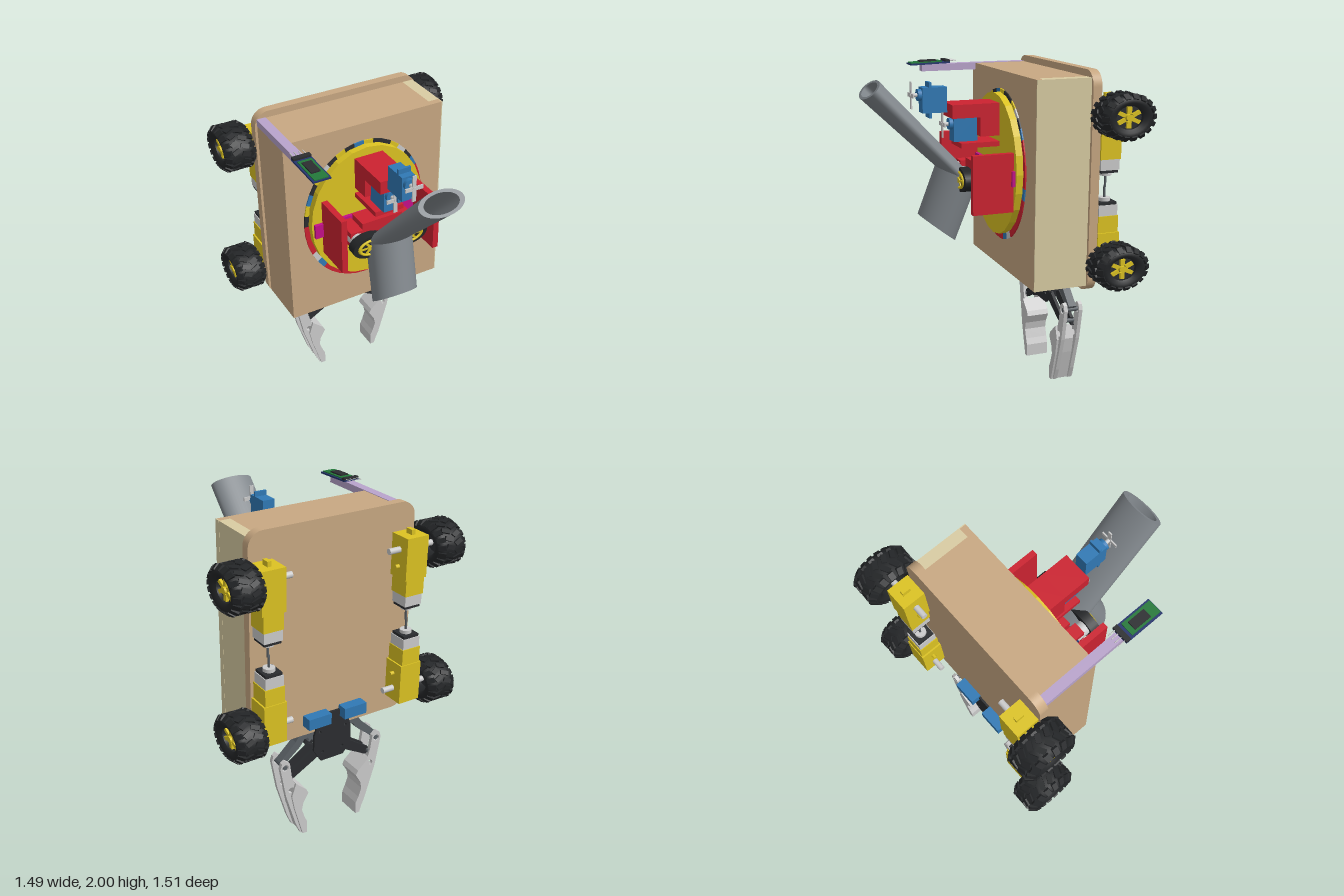
import * as THREE from 'three';
import { mergeGeometries } from 'three/addons/utils/BufferGeometryUtils.js';
import { RoundedBoxGeometry } from 'three/addons/geometries/RoundedBoxGeometry.js';

const mat = (color, opts = {}) => Object.assign(new THREE.MeshStandardMaterial({ color }), opts);
const M = {
  tan: mat(0xc8a882), cream: mat(0xd9cca3), yellow: mat(0xdcc322), red: mat(0xcc2230),
  blue: mat(0x3079b5), magenta: mat(0xc4108a), lilac: mat(0xb9a4cc), black: mat(0x2b2d30),
  tyre: mat(0x232527), pipe: mat(0x7f858a), link: mat(0x5b6166), light: mat(0xcccccc), green: mat(0x23783a),
  navy: mat(0x25356e), facet: mat(0xdcc322, { flatShading: true }),
};

function add(parent, name, geo, material, x = 0, y = 0, z = 0) {
  const m = new THREE.Mesh(geo, material);
  m.name = name;
  m.position.set(x, y, z);
  parent.add(m);
  return m;
}
// Box given by its limits on each axis
function box(parent, name, material, [x0, x1], [y0, y1], [z0, z1]) {
  return add(parent, name, new THREE.BoxGeometry(x1 - x0, y1 - y0, z1 - z0), material,
    (x0 + x1) / 2, (y0 + y1) / 2, (z0 + z1) / 2);
}
// Cylinder lying along the x, y or z axis
function rod(parent, name, material, axis, r, len, x, y, z, sides = 20) {
  const g = new THREE.CylinderGeometry(r, r, len, sides);
  if (axis === 'x') g.rotateZ(Math.PI / 2);
  if (axis === 'z') g.rotateX(Math.PI / 2);
  return add(parent, name, g, material, x, y, z);
}
function extrude(points, depth, holes = []) {
  const s = new THREE.Shape(points.map(p => new THREE.Vector2(...p)));
  for (const [x, y, r] of holes) s.holes.push(new THREE.Path().absarc(x, y, r, 0, Math.PI * 2, true));
  return new THREE.ExtrudeGeometry(s, { depth, bevelEnabled: false, curveSegments: 12 });
}

// Oval ring spanning two (z, y) points, rx wide
function ring(cx, rx, [z0, y0], [z1, y1], k) {
  const out = [];
  for (let i = 0; i < 40; i++) {
    const a = i / 40 * Math.PI * 2, s = Math.sin(a) * k / 2;
    out.push([cx + rx * k * Math.cos(a), (y0 + y1) / 2 + (y1 - y0) * s, (z0 + z1) / 2 + (z1 - z0) * s]);
  }
  return out;
}
function loft(a, b) {
  const n = a.length, idx = [], g = new THREE.BufferGeometry();
  for (let i = 0; i < n; i++) {
    const j = (i + 1) % n;
    idx.push(i, j, n + i, j, n + j, n + i);
  }
  g.setAttribute('position', new THREE.Float32BufferAttribute([...a, ...b].flat(), 3));
  g.setIndex(idx);
  g.computeVertexNormals();
  return g;
}
function barrel(parent) {
  const stations = [[-0.02, 0.14, [0.755, 1.83], [0.65, 1.93]], [-0.022, 0.138, [0.31, 1.405], [0.055, 1.3]],
    [-0.05, 0.138, [0.415, 1.108], [0.193, 0.934]]];
  const o = stations.map(s => ring(...s, 1)), n = stations.map(s => ring(...s, 0.77));
  const loops = [o[0], o[1], o[2], n[2], n[1], n[0], o[0]];
  const m = M.pipe.clone();
  m.side = THREE.DoubleSide;
  add(parent, 'bentPipe', mergeGeometries(loops.slice(1).map((l, i) => loft(loops[i], l))), m);
}

// Oval off-road wheel, outer face towards +x
function wheel() {
  const g = new THREE.Group();
  g.name = 'wheel';
  const prof = [[0.085, 0.07], [0.11, 0.088], [0.14, 0.085], [0.158, 0.06], [0.163, 0], [0.158, -0.06],
    [0.14, -0.085], [0.11, -0.088], [0.085, -0.07], [0.085, 0.07]].reverse().map(p => new THREE.Vector2(...p));
  add(g, 'tyre', new THREE.LatheGeometry(prof, 36).rotateZ(-Math.PI / 2), M.tyre);
  const treads = [];
  for (let i = 0; i < 18; i++) {
    for (const s of [-1, 1]) {
      const a = (i + (s > 0 ? 0.5 : 0)) / 18 * Math.PI * 2;
      treads.push(new THREE.BoxGeometry(0.05, 0.016, 0.03).rotateY(s * 0.5).translate(s * 0.027, 0.163, 0).rotateX(a));
      treads.push(new THREE.BoxGeometry(0.045, 0.016, 0.034).rotateZ(-s * 0.85).translate(s * 0.073, 0.152, 0).rotateX(a));
    }
  }
  add(g, 'treads', mergeGeometries(treads), M.tyre);
  rod(g, 'rim', M.black, 'x', 0.088, 0.05, 0.025, 0, 0, 32);
  rod(g, 'hub', M.yellow, 'x', 0.024, 0.05, 0.05, 0, 0);
  for (let i = 0; i < 6; i++) {
    const s = new THREE.BoxGeometry(0.02, 0.05, 0.028).translate(0.055, 0.052, 0).rotateX(i * Math.PI / 3);
    add(g, 'spoke', s, M.yellow);
  }
  g.scale.set(1.04, 0.77, 0.99);
  return g;
}

// Gear motor with its wheel; modelled for +x with the motor pointing up
function drive(side, up) {
  const g = new THREE.Group();
  g.name = 'driveUnit';
  const w = wheel();
  w.position.x = 0.645;
  g.add(w);
  box(g, 'gearbox', M.yellow, [0.39, 0.535], [-0.08, 0.17], [-0.065, 0.075]);
  box(g, 'gearboxNeck', M.yellow, [0.4, 0.525], [0.17, 0.27], [-0.06, 0.07]);
  box(g, 'mountTab', M.yellow, [0.45, 0.475], [-0.11, -0.08], [-0.02, 0.03]);
  box(g, 'motorCan', M.light, [0.405, 0.52], [0.27, 0.335], [-0.055, 0.065]);
  box(g, 'motorCap', M.black, [0.41, 0.515], [0.335, 0.352], [-0.05, 0.06]);
  rod(g, 'motorNose', M.light, 'y', 0.035, 0.025, 0.463, 0.36, 0.005);
  rod(g, 'motorShaft', M.link, 'y', 0.007, 0.08, 0.463, 0.405, 0.005, 10);
  rod(g, 'axle', M.light, 'x', 0.018, 0.3, 0.465, 0, 0.005);
  rod(g, 'boss', M.yellow, 'x', 0.012, 0.03, 0.38, 0.1, 0.005, 12);
  g.scale.set(side, up, 1);
  return g;
}

function servo(parent, x, y, z) {
  const g = new THREE.Group();
  g.name = 'servo';
  g.position.set(x, y, z);
  box(g, 'servoBody', M.blue, [-0.04, 0.04], [-0.075, 0.075], [-0.08, 0.07]);
  box(g, 'servoEars', M.blue, [-0.04, 0.04], [-0.105, 0.105], [0.015, 0.03]);
  rod(g, 'servoBoss', M.blue, 'z', 0.035, 0.025, 0, 0.03, 0.08);
  rod(g, 'servoShaft', M.light, 'z', 0.012, 0.05, 0, 0.03, 0.11, 12);
  box(g, 'servoHorn', M.light, [-0.012, 0.012], [-0.05, 0.11], [0.125, 0.132]);
  box(g, 'servoHornCross', M.light, [-0.055, 0.055], [0.018, 0.042], [0.125, 0.132]);
  parent.add(g);
}

// One half of the gripper for +x, measured from its centre line
function claw() {
  const g = new THREE.Group();
  g.name = 'claw';
  const outline = [[0.182, 0], [0.22, 0], [0.255, 0.08], [0.325, 0.31], [0.362, 0.51], [0.352, 0.545], [0.33, 0.56],
    [0.298, 0.535], [0.285, 0.44], [0.27, 0.39], [0.19, 0.32], [0.175, 0.29], [0.21, 0.23], [0.22, 0.18], [0.2, 0.12], [0.182, 0.08]];
  const holes = [[0.328, 0.51, 0.021], [0.288, 0.34, 0.019]];
  for (const z of [-0.512, -0.412]) add(g, 'fingerPlate', extrude(outline, 0.024, holes), M.light, 0, 0, z);
  const pad = [[0.182, 0], [0.212, 0], [0.27, 0.2], [0.29, 0.3], [0.262, 0.385], [0.19, 0.32], [0.175, 0.29],
    [0.21, 0.23], [0.22, 0.18], [0.2, 0.12], [0.182, 0.08]];
  add(g, 'fingerPad', extrude(pad, 0.15), M.light, 0, 0, -0.525);
  const outer = [[0.13, 0.73], [0.19, 0.71], [0.235, 0.64], [0.345, 0.535], [0.325, 0.5], [0.205, 0.6], [0.165, 0.655], [0.12, 0.66]];
  add(g, 'outerLink', extrude(outer, 0.05), M.link, 0, 0, -0.475);
  const inner = [[0.07, 0.54], [0.11, 0.56], [0.29, 0.44], [0.3, 0.39], [0.26, 0.4], [0.08, 0.5]];
  for (const z of [-0.485, -0.425]) add(g, 'innerLink', extrude(inner, 0.02), M.black, 0, 0, z);
  rod(g, 'upperPin', M.link, 'z', 0.014, 0.12, 0.328, 0.51, -0.45);
  rod(g, 'lowerPin', M.link, 'z', 0.014, 0.1, 0.285, 0.42, -0.45);
  // Toothed gear at the link root
  for (let i = 0; i < 12; i++) {
    const t = new THREE.BoxGeometry(0.016, 0.02, 0.05).translate(0, 0.075, 0).rotateZ(i * Math.PI / 6);
    add(g, 'gearTooth', t, M.link, 0.1, 0.69, -0.45);
  }
  rod(g, 'gear', M.link, 'z', 0.07, 0.05, 0.1, 0.69, -0.45, 24);
  return g;
}

export function createModel() {
  const root = new THREE.Group();
  root.name = 'gripperRobot';

  // Chassis
  const r = 0.09, x0 = -0.545, x1 = 0.53, y0 = 0.69, y1 = 2, plate = new THREE.Shape();
  plate.absarc(x1 - r, y1 - r, r, 0, Math.PI / 2).absarc(x0 + r, y1 - r, r, Math.PI / 2, Math.PI)
    .absarc(x0 + r, y0 + r, r, Math.PI, Math.PI * 1.5).absarc(x1 - r, y0 + r, r, Math.PI * 1.5, Math.PI * 2);
  add(root, 'backPlate', new THREE.ExtrudeGeometry(plate, { depth: 0.035, bevelSize: 0, bevelThickness: 0.01, bevelSegments: 1 }), M.tan, 0, 0, -0.49);
  box(root, 'body', M.tan, [-0.53, 0.44], [0.73, 1.96], [-0.445, -0.15]);
  box(root, 'sidePanel', M.cream, [0.44, 0.51], [0.73, 1.96], [-0.445, -0.15]);
  box(root, 'frontPanel', M.tan, [-0.53, 0.505], [0.73, 1.96], [-0.15, -0.11]);
  box(root, 'frontPanelEdge', M.cream, [0.505, 0.511], [0.73, 1.96], [-0.15, -0.11]);

  // Turntable with a coloured segmented rim
  const disc = new THREE.CylinderGeometry(1, 1, 0.05, 24).rotateX(Math.PI / 2).scale(0.375, 0.437, 1);
  add(root, 'turntable', disc, M.facet, -0.025, 1.395, -0.085);
  for (let i = 0; i < 40; i++) {
    const a = i / 40 * Math.PI * 2, b = a + Math.PI / 20;
    const p = (k, t) => [k * 0.375 * Math.cos(t), k * 0.437 * Math.sin(t)];
    const c = i % 7 === 3 ? M.blue : i % 9 === 5 ? M.light : i > 19 || i < 3 ? M.red : i % 3 ? M.black : M.yellow;
    add(root, 'rimSegment', extrude([p(0.96, a), p(1.07, a), p(1.07, b), p(0.96, b)], 0.02), c, -0.025, 1.385, -0.122);
  }

  // Launcher: brackets, spinning wheels, servos and pipe
  box(root, 'crossStrip', M.magenta, [-0.385, 0.335], [1.325, 1.415], [-0.065, -0.04]);
  box(root, 'rightBracket', M.red, [-0.333, -0.296], [1.205, 1.56], [-0.055, 0.185]);
  box(root, 'leftBracket', M.red, [0.28, 0.317], [1.17, 1.52], [-0.055, 0.195]);
  box(root, 'crossBlock', M.red, [-0.14, 0.13], [1.3, 1.42], [-0.05, 0.08]);
  box(root, 'shelf', M.red, [-0.11, 0.075], [1.52, 1.55], [-0.06, 0.18]);
  box(root, 'servoPost', M.red, [-0.11, 0.075], [1.585, 1.78], [-0.06, 0.06]);
  box(root, 'servoArm', M.red, [-0.11, 0.075], [1.7, 1.78], [0.06, 0.235]);
  servo(root, -0.03, 1.805, 0.325);
  servo(root, -0.03, 1.625, 0.135);
  for (const s of [-1, 1]) {
    const x = -0.022 + s * 0.17, wx = -0.022 + s * 0.133;
    box(root, 'motorHolder', M.red, [x - 0.04, x + 0.04], [1.3, 1.4], [-0.055, 0.11]);
    rod(root, 'spinMotor', M.light, 'z', 0.045, 0.1, x, 1.345, 0.1);
    box(root, 'motorTerminal', M.navy, [x + s * 0.04 - 0.01, x + s * 0.04 + 0.01], [1.32, 1.37], [0, 0.06]);
    const w = new THREE.Group();
    w.name = 'spinWheel';
    w.position.set(wx, 1.343, 0.178);
    w.scale.set(1, 0.62, 1);
    add(w, 'spinTyre', new RoundedBoxGeometry(0.01, 0.01, 0.01, 1, 0.002), M.tyre);
    rod(w, 'spinRubber', M.tyre, 'z', 0.115, 0.06, 0, 0, 0, 32);
    add(w, 'spinRing', new THREE.TorusGeometry(0.075, 0.011, 8, 28), M.yellow, 0, 0, 0.03);
    rod(w, 'spinHub', M.yellow, 'z', 0.025, 0.02, 0, 0, 0.03);
    for (let i = 0; i < 3; i++) add(w, 'spinSpoke', new THREE.BoxGeometry(0.15, 0.016, 0.012).rotateZ(i * Math.PI / 3), M.yellow, 0, 0, 0.03);
    root.add(w);
  }
  barrel(root);

  // Radio board on its boom
  box(root, 'boom', M.lilac, [-0.531, -0.475], [1.92, 1.963], [-0.445, 0.25]);
  const board = new THREE.Group();
  board.name = 'radioBoard';
  board.position.set(-0.508, 1.97, 0.2);
  board.rotation.x = 0.03;
  box(board, 'carrier', M.navy, [-0.053, 0.053], [-0.006, 0.004], [-0.13, 0.125]);
  box(board, 'module', M.green, [-0.042, 0.042], [0.004, 0.01], [-0.08, 0.12]);
  box(board, 'chip', M.black, [-0.03, 0.025], [0.01, 0.018], [-0.05, 0.06]);
  box(board, 'header', M.black, [-0.053, 0.053], [0.004, 0.016], [-0.13, -0.1]);
  for (let i = 0; i < 4; i++) rod(board, 'pin', M.light, 'z', 0.003, 0.05, -0.038 + i * 0.025, 0.008, -0.15, 6);
  root.add(board);

  // Four driven wheels
  for (const s of [-1, 1]) for (const [y, up] of [[1.757, -1], [0.878, 1]]) {
    const d = drive(s, up);
    d.position.set(up > 0 ? -0.008 : -0.002, y, -0.58);
    root.add(d);
  }

  // Gripper
  const grip = new THREE.Group();
  grip.name = 'gripper';
  grip.position.x = -0.016;
  const base = [[-0.08, 0.48], [0.08, 0.48], [0.13, 0.56], [0.13, 0.66], [0.09, 0.8], [-0.09, 0.8], [-0.13, 0.66], [-0.13, 0.56]];
  const bolts = [[-0.09, 0.68, 0.01], [0.09, 0.68, 0.01], [-0.07, 0.54, 0.01], [0.07, 0.54, 0.01]];
  add(grip, 'rearPlate', extrude(base, 0.016, bolts), M.black, 0, 0, -0.513);
  add(grip, 'frontPlate', extrude(base.map(([x, y]) => [x, Math.min(y, 0.74)]), 0.016, bolts), M.black, 0, 0, -0.405);
  box(grip, 'spacer', M.black, [-0.06, 0.06], [0.5, 0.62], [-0.5, -0.4]);
  for (const s of [-1, 1]) {
    const c = claw();
    c.scale.x = s;
    grip.add(c);
    box(grip, 'gripServo', M.blue, [s * 0.124 - 0.077, s * 0.124 + 0.077], [0.755, 0.825], [-0.567, -0.5]);
  }
  root.add(grip);
  return root;
}
